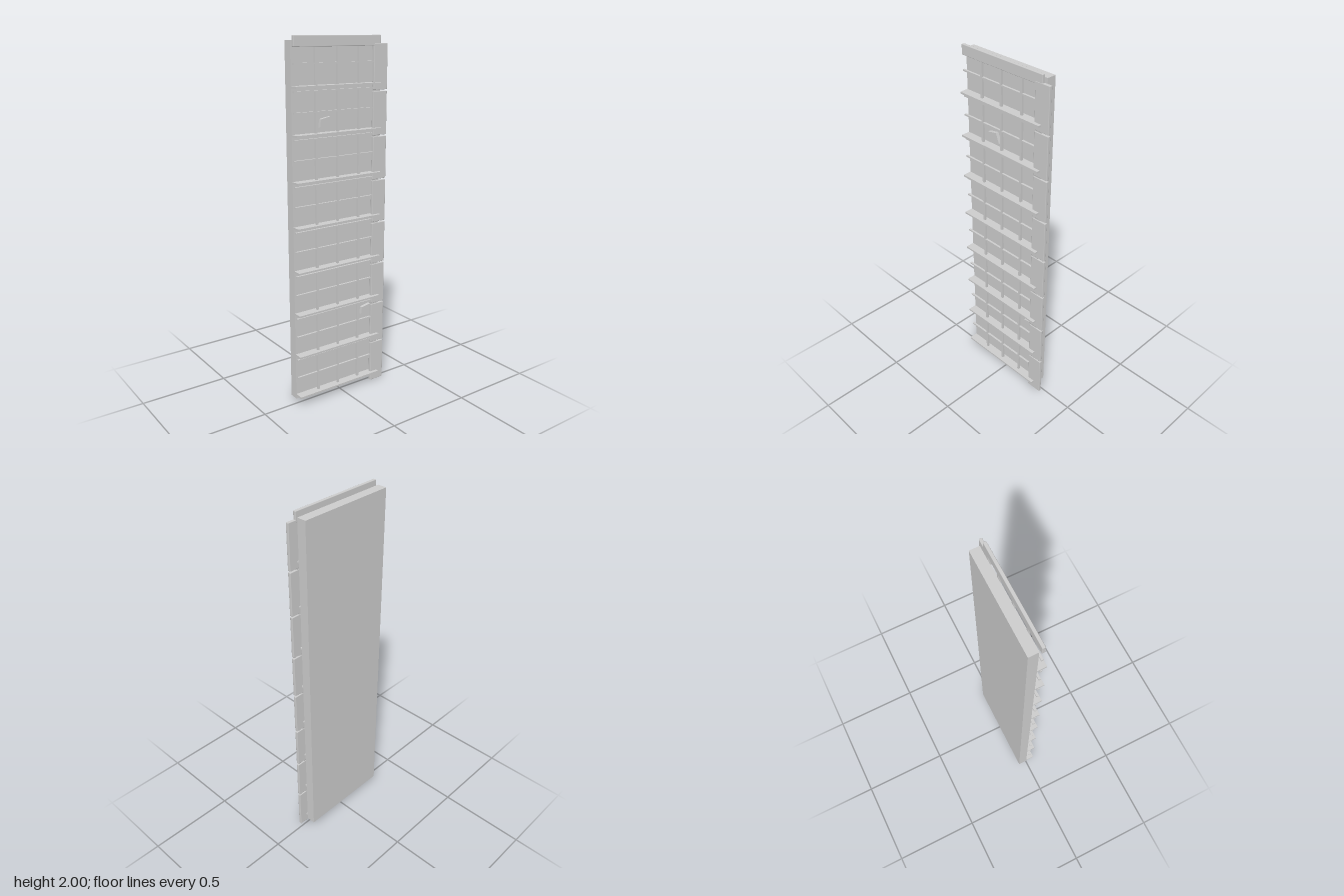
import * as THREE from 'three';
import { RoundedBoxGeometry } from 'three/addons/geometries/RoundedBoxGeometry.js';

const material = new THREE.MeshStandardMaterial({ color: 0xcccccc });
const FLOORS = 8, PITCH = 0.2427, FIRST = 0.052;

// Box given by its limits on each axis; a bevel softens its edges
function block(name, [x0, x1], [y0, y1], [z0, z1], bevel = 0) {
  const size = [x1 - x0, y1 - y0, z1 - z0];
  const geometry = bevel
    ? new RoundedBoxGeometry(...size, 1, bevel)
    : new THREE.BoxGeometry(...size);
  const mesh = new THREE.Mesh(geometry, material);
  mesh.name = name;
  mesh.position.set((x0 + x1) / 2, (y0 + y1) / 2, (z0 + z1) / 2);
  return mesh;
}

// Small skewed plate standing in the gap behind the grid
function loosePlate(y, z) {
  const shape = new THREE.Shape([
    [0.042, 0], [0.036, 0.042], [-0.022, 0.053], [-0.043, 0],
  ].map(([a, b]) => new THREE.Vector2(-a, b)));
  const geometry = new THREE.ExtrudeGeometry(shape, { depth: 0.018, bevelEnabled: false });
  geometry.rotateY(Math.PI / 2);
  const mesh = new THREE.Mesh(geometry, material);
  mesh.name = 'loosePlate';
  mesh.position.set(0, y, z);
  return mesh;
}

export function createModel() {
  const model = new THREE.Group();
  model.name = 'facadePanel';

  // Solid wall behind, and the top beam of the frame
  model.add(block('wallSlab', [-0.052, 0], [0.028, 1.976], [-0.253, 0.296]));
  model.add(block('topBeam', [0.013, 0.03], [1.945, 2], [-0.25, 0.296], 0.003));

  for (let i = 0; i < FLOORS; i++) {
    const floor = new THREE.Group();
    floor.name = 'floor' + (i + 1);
    const y = FIRST + i * PITCH;
    const top = i === FLOORS - 1 ? 1.945 : y + PITCH - 0.024;

    // Projecting ledge, middle rail and head rail
    floor.add(block('ledge', [0, 0.05], [y - 0.005, y + 0.005], [-0.25, 0.296]));
    floor.add(block('middleRail', [0.015, 0.027], [y + 0.109, y + 0.117], [-0.205, 0.296]));
    if (i < FLOORS - 1) {
      floor.add(block('headRail', [0.015, 0.027], [top - 0.004, top + 0.004], [-0.205, 0.296]));
    }

    // Upright bars between the window panes
    for (const z of [0.162, 0.026, -0.113]) {
      floor.add(block('mullion', [0.015, 0.027], [y - 0.012, top], [z - 0.006, z + 0.006]));
    }

    // Edge pier, with a narrow joint between storeys
    const pierBottom = i === 0 ? 0 : 0.25 + (i - 1) * 0.2443;
    const pierTop = i === FLOORS - 1 ? 1.958 : 0.25 + i * 0.2443 - 0.007;
    floor.add(block('pier', [0.014, 0.031], [pierBottom, pierTop], [-0.296, -0.205], 0.003));
    if (i > 0) {
      floor.add(block('pierJoint', [0.016, 0.028],
        [pierBottom - 0.01, pierBottom + 0.003], [-0.25, -0.207]));
    }
    model.add(floor);
  }

  model.add(loosePlate(1.54, 0.092), loosePlate(0.437, -0.185));
  return model;
}
